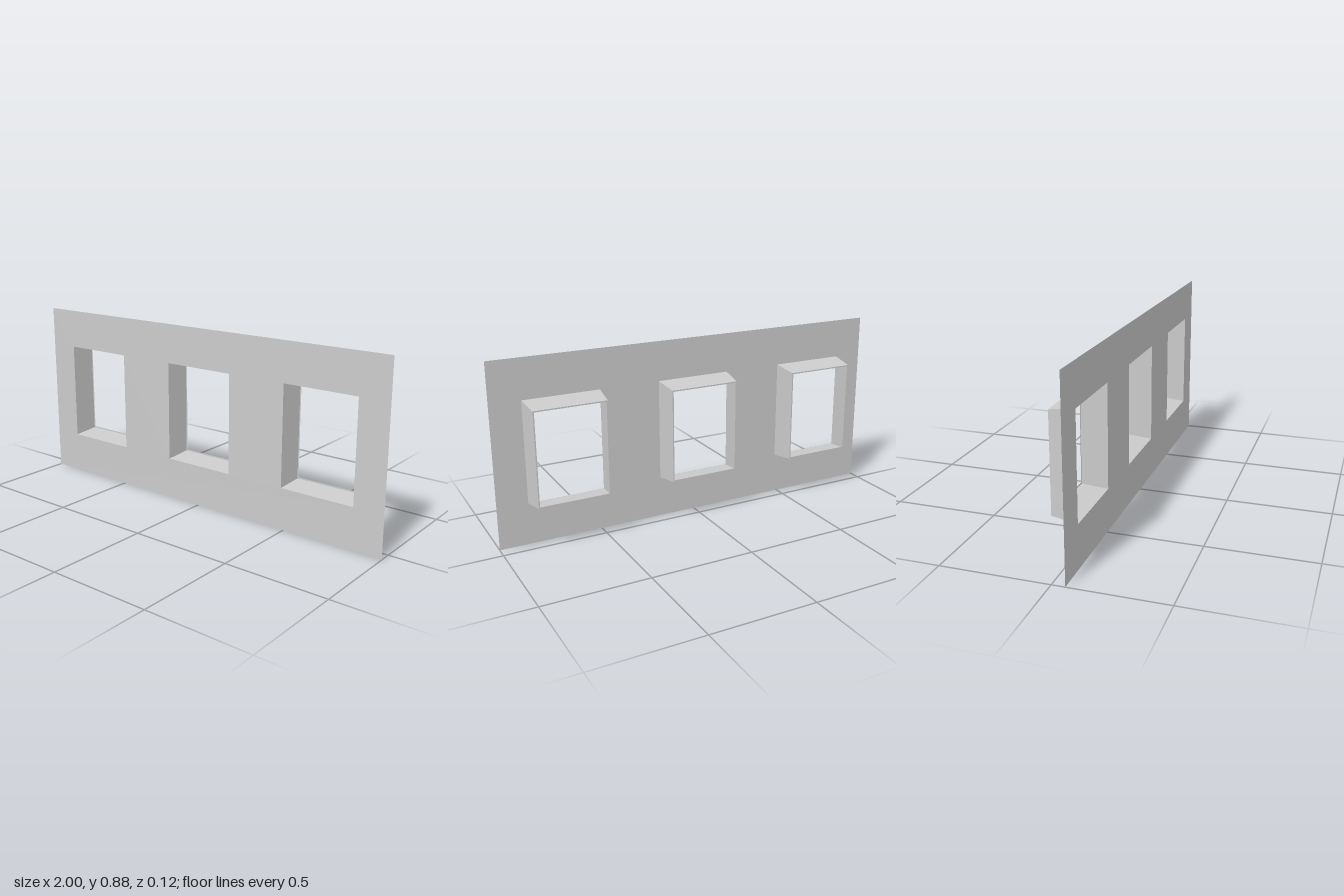
import * as THREE from 'three';

const FRONT = 0.06, BACK = -0.06, HEIGHT = 0.885;
const OPENINGS = [-0.668, 0, 0.668];

// Corners of a rectangle, counter-clockwise seen from the front
function rectangle(halfWidth, bottom, top) {
  return [[-halfWidth, bottom], [halfWidth, bottom], [halfWidth, top], [-halfWidth, top]];
}

const outerEdge = rectangle(0.185, 0.203, 0.692);
const backEdge = rectangle(0.173, 0.218, 0.673);
const lipEdge = rectangle(0.167, 0.225, 0.667);

// Four flat sides joining one rectangle to the next
function joinLoops(a, za, b, zb) {
  const positions = [];
  for (let i = 0; i < 4; i++) {
    const j = (i + 1) % 4;
    const a0 = [...a[i], za], a1 = [...a[j], za], b0 = [...b[i], zb], b1 = [...b[j], zb];
    positions.push(...a0, ...a1, ...b1, ...a0, ...b1, ...b0);
  }
  const geometry = new THREE.BufferGeometry();
  geometry.setAttribute('position', new THREE.Float32BufferAttribute(positions, 3));
  geometry.computeVertexNormals();
  return geometry;
}

export function createModel() {
  const group = new THREE.Group();
  group.name = 'windowWall';
  const material = new THREE.MeshStandardMaterial({ color: 0xcccccc, side: THREE.DoubleSide });

  function addPart(name, geometry, parent) {
    const mesh = new THREE.Mesh(geometry, material);
    mesh.name = name;
    parent.add(mesh);
    return mesh;
  }

  // Thin wall sheet with three openings
  const wall = new THREE.Shape(rectangle(1, 0, HEIGHT).map(([x, y]) => new THREE.Vector2(x, y)));
  for (const cx of OPENINGS) {
    wall.holes.push(new THREE.Path(outerEdge.map(([x, y]) => new THREE.Vector2(x + cx, y))));
  }
  addPart('wallPanel', new THREE.ShapeGeometry(wall), group).position.z = FRONT;

  // Tapered reveal behind each opening, ending in a narrow flat lip
  const revealGeometry = joinLoops(outerEdge, FRONT, backEdge, BACK);
  const lipGeometry = joinLoops(backEdge, BACK, lipEdge, BACK);
  OPENINGS.forEach((cx, i) => {
    const windowFrame = new THREE.Group();
    windowFrame.name = ['rightWindow', 'middleWindow', 'leftWindow'][i];
    windowFrame.position.x = cx;
    addPart('reveal', revealGeometry, windowFrame);
    addPart('backLip', lipGeometry, windowFrame);
    group.add(windowFrame);
  });

  return group;
}
